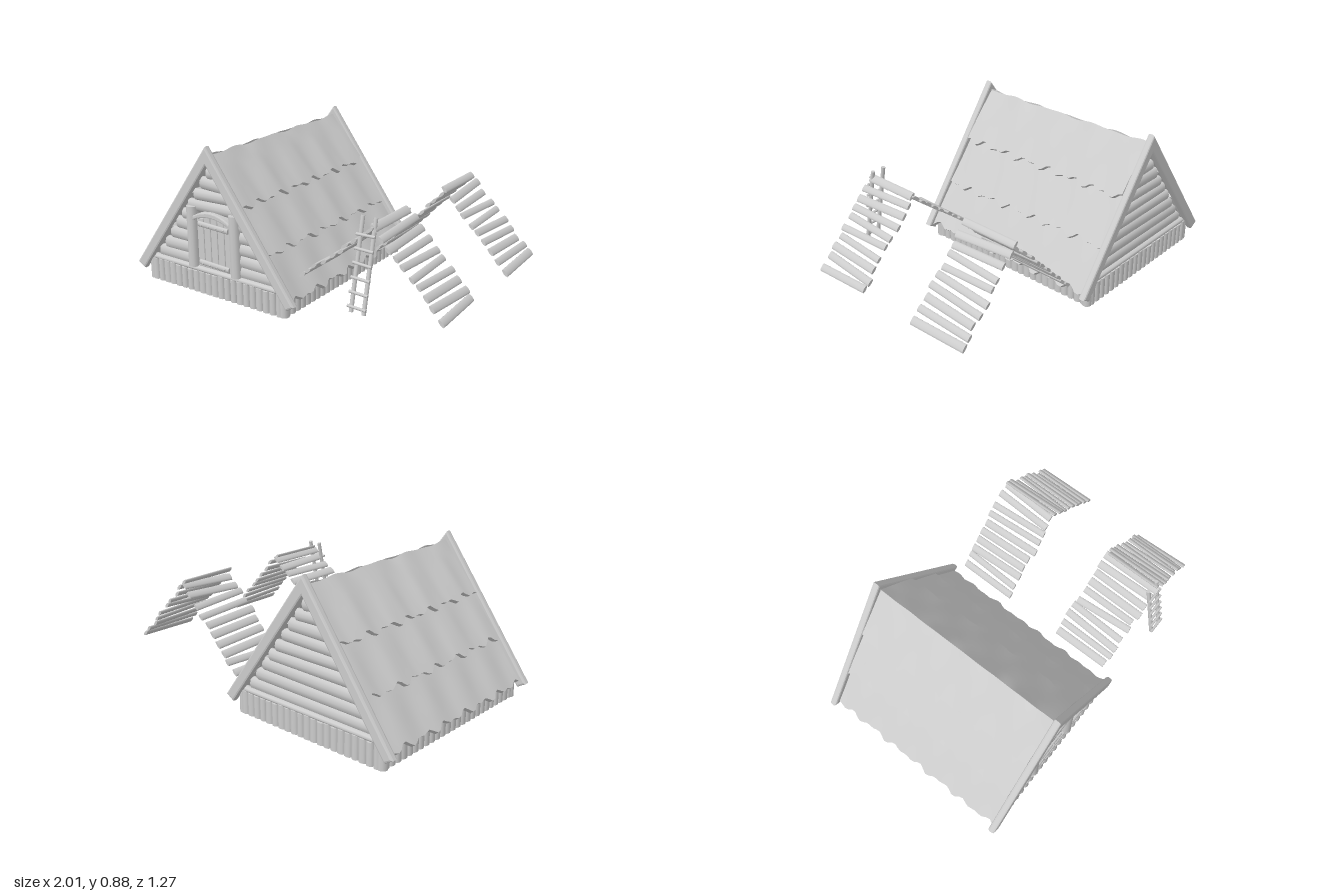
import * as THREE from 'three';

const material = new THREE.MeshStandardMaterial({ color: 0xcccccc });
const V = (x, y, z) => new THREE.Vector3(x, y, z);
const Z = V(0, 0, 1);

let seed = 7;
// seeded jitter in -1..1
function jitter() {
  seed = (seed * 16807) % 2147483647;
  return (seed / 2147483647) * 2 - 1;
}

function add(parent, name, geometry) {
  const mesh = new THREE.Mesh(geometry, material);
  mesh.name = name;
  parent.add(mesh);
  return mesh;
}

function group(parent, name) {
  const g = new THREE.Group();
  g.name = name;
  parent.add(g);
  return g;
}

// Oval log from a to b; thickness is measured along the given normal
function log(parent, name, a, b, width, thickness, normal = Z) {
  const dir = b.clone().sub(a);
  const length = dir.length();
  dir.normalize();
  const side = dir.clone().cross(normal).normalize();
  const g = new THREE.CylinderGeometry(0.5, 0.5, 1, 10);
  g.scale(width, length, thickness);
  g.applyMatrix4(new THREE.Matrix4().makeBasis(side, dir, side.clone().cross(dir))
    .setPosition(a.clone().add(b).multiplyScalar(0.5)));
  return add(parent, name, g);
}

function extrude(points, depth, bevel) {
  const g = new THREE.ExtrudeGeometry(new THREE.Shape(points.map(p => new THREE.Vector2(...p))), {
    depth: depth - 2 * bevel, bevelThickness: bevel, bevelSize: bevel,
    bevelOffset: -bevel, bevelSegments: 2,
  });
  return g.translate(0, 0, bevel - depth / 2);
}

// One wavy roof course: a box bent along the slope, s0..s1 measured from the ridge
function roofCourse(s0, s1, low, lift, phase) {
  const slope = V(0.591, -0.807, 0), normal = V(0.807, 0.591, 0);
  const g = new THREE.BoxGeometry(1, 1, 1.166, 6, 1, 48);
  const p = g.attributes.position;
  for (let i = 0; i < p.count; i++) {
    const u = p.getX(i) + 0.5, top = p.getY(i) > 0, z = p.getZ(i);
    const edge = 0.012 * Math.sin(z * 37 + phase) + 0.011 * Math.sin(z * 61 + phase * 2.3);
    const dent = 0.006 * Math.sin(z * 23 + phase * 1.7) * Math.sin(u * 2.6);
    if (s0 === 0 && u < 0.001) {
      const wave = 0.005 * Math.sin(z * 20) + 0.003 * Math.cos(z * 34);
      p.setXYZ(i, 0, (top ? 0.828 : 0.785) + wave, z);
      continue;
    }
    const s = s0 + (s1 - s0) * u + edge * u;
    const out = low + lift * u + dent + (top ? 0 : -0.026);
    p.setXYZ(i, slope.x * s + normal.x * out, 0.828 + slope.y * s + normal.y * out, z);
  }
  g.computeVertexNormals();
  return g;
}

function buildRoof(house) {
  for (const turn of [0, 1]) {
    const half = group(house, turn ? 'roofRight' : 'roofLeft');
    half.rotation.y = turn * Math.PI;
    add(half, 'upperRoofCourse', roofCourse(0, 0.34, 0, 0.028, 1 + turn * 2));
    add(half, 'middleRoofCourse', roofCourse(0.28, 0.63, 0, 0.02, 2.2 + turn * 2));
    add(half, 'lowerRoofCourse', roofCourse(0.57, 0.905, 0, 0.006, 4 + turn * 2));
  }
}

function buildBase(house) {
  const base = group(house, 'base');
  const bx = 0.482, bz = 0.583;
  // closely set upright logs on all four sides
  const row = (count, half, place) => {
    for (let i = 0; i < count; i++) {
      const t = -half + (2 * half * (i + 0.5)) / count;
      const w = (2 * half / count) * (1.08 + 0.1 * jitter());
      place(t, w, 0.13 + 0.005 * jitter());
    }
  };
  for (const s of [-1, 1]) {
    row(21, bx, (t, w, h) => log(base, 'basePost', V(t, 0, s * bz), V(t, h, s * bz), w, 0.044));
    row(25, bz, (t, w, h) => log(base, 'basePost', V(s * bx, 0, t), V(s * bx, h - 0.015, t), w, 0.044, V(1, 0, 0)));
    for (const k of [-1, 1])
      log(base, 'cornerPost', V(s * bx, 0, k * (bz - 0.008)), V(s * bx, 0.13, k * (bz - 0.008)), 0.056, 0.056);
    log(base, 'sillLog', V(-0.49, 0.14, s * 0.575), V(0.49, 0.14, s * 0.575), 0.034, 0.05);
  }
}

function buildGables(house) {
  const walls = group(house, 'gableWalls');
  for (const s of [-1, 1]) {
    for (let i = 0; i < 9; i++) {
      const y = 0.182 + i * 0.067, z = s * 0.56;
      const half = (0.768 - y) / 1.374;
      const w = 0.074 + 0.006 * jitter(), tilt = 0.005 * jitter();
      if (s > 0 && y < 0.47) {
        // logs stop at the doorway
        for (const k of [-1, 1])
          log(walls, 'wallLog', V(k * half, y + tilt, z), V(k * 0.145, y, z), w, 0.05);
      } else {
        log(walls, 'wallLog', V(-half, y + tilt, z), V(half, y - tilt, z), w, 0.05);
      }
    }
    // mitred beams along the gable edge
    const chevron = [[0, 0.882], [-0.578, 0.092], [-0.525, 0.06], [0, 0.775], [0.525, 0.06], [0.578, 0.092]];
    add(walls, 'gableBeam', extrude(chevron, 0.042, 0.011)).position.z = s * 0.605;
  }
}

function buildDoor(house) {
  const door = group(house, 'door');
  for (const s of [-1, 1])
    log(door, 'doorJamb', V(s * 0.157, 0.152, 0.583), V(s * 0.155, 0.512, 0.583), 0.066, 0.06);
  // arched lintel
  const arch = [];
  for (let i = 0; i <= 8; i++) {
    const x = -0.135 + 0.27 * i / 8;
    arch.push([x, 0.5 - 2.2 * x * x]);
  }
  for (let i = 8; i >= 0; i--) {
    const x = -0.135 + 0.27 * i / 8;
    arch.push([x, 0.468 - 1.8 * x * x]);
  }
  add(door, 'doorLintel', extrude(arch, 0.05, 0.007)).position.z = 0.58;
  // planks, cross braces and pegs
  for (let i = 0; i < 5; i++) {
    const x = -0.1 + i * 0.05;
    const top = 0.468 - 1.8 * x * x;
    add(door, 'doorPlank', extrude([[x - 0.024, 0.155], [x + 0.024, 0.155], [x + 0.024, top], [x - 0.024, top]], 0.03, 0.006))
      .position.z = 0.565;
  }
  for (const y of [0.412, 0.182]) {
    log(door, 'doorBrace', V(-0.108, y + 0.003, 0.582), V(0.108, y - 0.003, 0.582), 0.032, 0.022);
    for (let i = 0; i < 4; i++) {
      const peg = add(door, 'doorPeg', new THREE.SphereGeometry(0.006, 8, 6));
      peg.position.set(-0.08 + i * 0.053, y, 0.593);
    }
  }
}

// Run of loose slats laid down a slope in the xy plane
function slatRun(parent, name, from, to, zMid) {
  const run = group(parent, name);
  const a = V(...from, 0), b = V(...to, 0);
  const along = b.clone().sub(a).normalize();
  const normal = V(-along.y, along.x, 0);
  const count = 10;
  for (let i = 0; i < count; i++) {
    const mid = a.clone().lerp(b, i / (count - 1));
    mid.z = zMid + 0.008 * jitter();
    mid.addScaledVector(normal, 0.004 * jitter());
    const reach = V(0, 0, 0.176 + 0.008 * jitter());
    reach.addScaledVector(along, i ? 0.013 * jitter() : 0);
    reach.addScaledVector(normal, 0.004 * jitter());
    log(run, 'slat', mid.clone().sub(reach), mid.clone().add(reach), 0.046 + 0.006 * jitter(), 0.018, normal);
  }
}

function buildLadder(model) {
  const ladder = group(model, 'ladder');
  const foot = V(0, 0.18, 0.617), head = V(0, 0.66, 0.515);
  for (const x of [0.525, 0.6])
    log(ladder, 'ladderRail', V(x, foot.y, foot.z), V(x, head.y, head.z), 0.023, 0.023);
  for (let i = 0; i < 6; i++) {
    const p = foot.clone().lerp(head, 0.065 + i * 0.15);
    const y = p.y, z = p.z + 0.013, t = 0.003 * jitter();
    log(ladder, 'ladderRung', V(0.508, y + t, z), V(0.617, y - t, z), 0.016, 0.016);
  }
}

export function createModel() {
  seed = 7;
  const model = new THREE.Group();
  model.name = 'logCabin';
  const house = group(model, 'house');
  house.position.set(-0.423, 0, -0.017);
  buildBase(house);
  buildGables(house);
  buildDoor(house);
  buildRoof(house);
  // two peaked slat covers beside the house
  slatRun(model, 'frontCoverRight', [0.158, 0.258], [0.585, 0.6], 0.36);
  slatRun(model, 'frontCoverLeft', [0.6, 0.615], [0.983, 0.212], 0.36);
  slatRun(model, 'backCoverRight', [0.185, 0.175], [0.585, 0.59], -0.372);
  slatRun(model, 'backCoverLeft', [0.6, 0.615], [0.983, 0.212], -0.372);
  buildLadder(model);
  return model;
}
